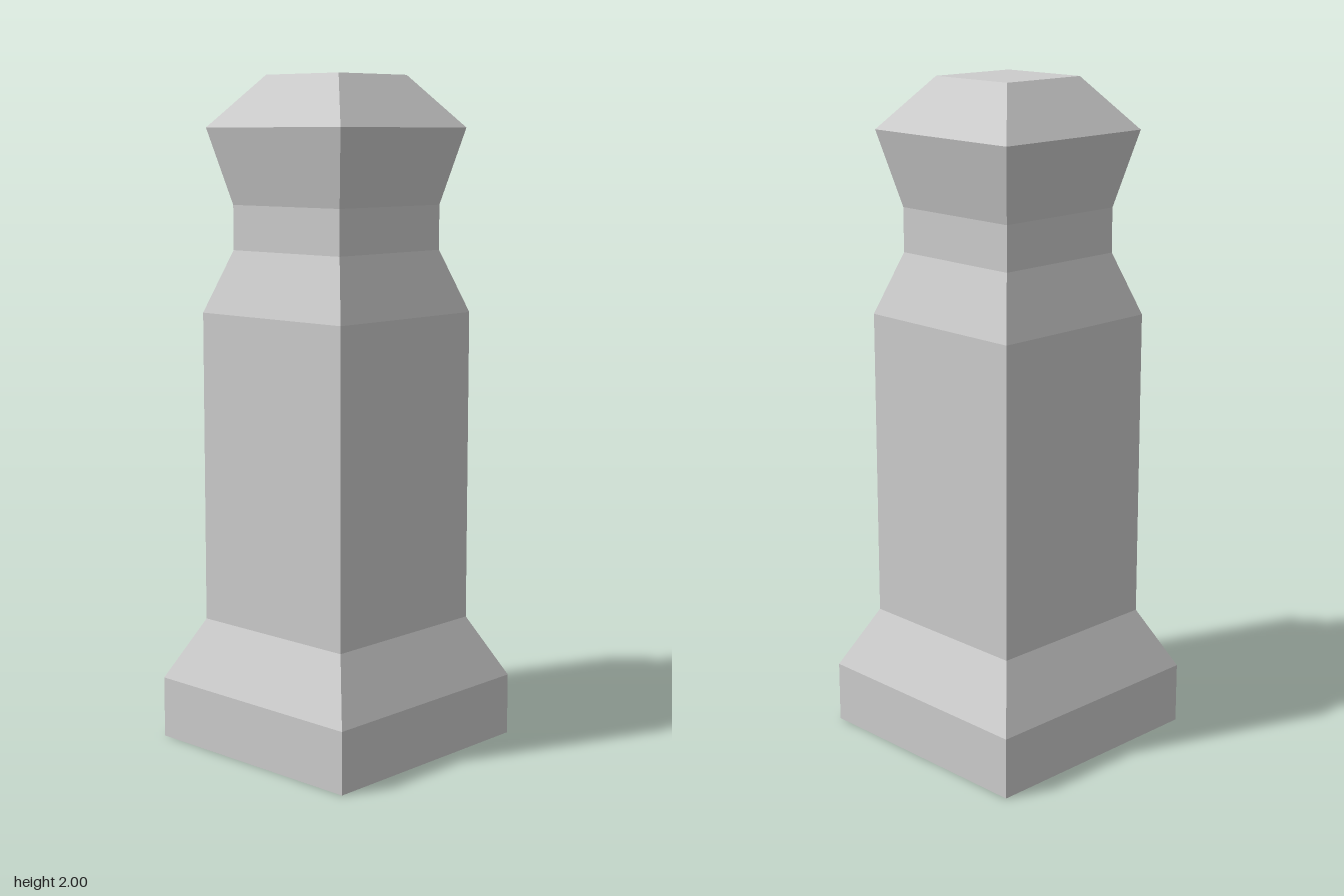
import * as THREE from 'three';

const material = new THREE.MeshStandardMaterial({ color: 0xcccccc, flatShading: true });

// Square lathe: profile points are [half-width, height], from bottom to top
function squareLathe(name, profile) {
  const points = profile.map(([half, y]) => new THREE.Vector2(half * Math.SQRT2, y));
  const geometry = new THREE.LatheGeometry(points, 4, Math.PI / 4).toNonIndexed();
  geometry.computeVertexNormals();
  const mesh = new THREE.Mesh(geometry, material);
  mesh.name = name;
  return mesh;
}

export function createModel() {
  const post = new THREE.Group();
  post.name = 'stonePost';
  post.add(
    // Plinth with closed underside and sloping shoulder
    squareLathe('plinth', [[0, 0], [0.373, 0], [0.373, 0.185], [0.28, 0.37]]),
    // Straight square shaft
    squareLathe('shaft', [[0.28, 0.37], [0.28, 1.305]]),
    // Tapered shoulder and narrow neck
    squareLathe('neck', [[0.28, 1.305], [0.215, 1.49], [0.215, 1.623]]),
    // Flared head with bevelled, flat top
    squareLathe('cap', [[0.215, 1.623], [0.27, 1.848], [0.145, 2], [0, 2]])
  );
  return post;
}
